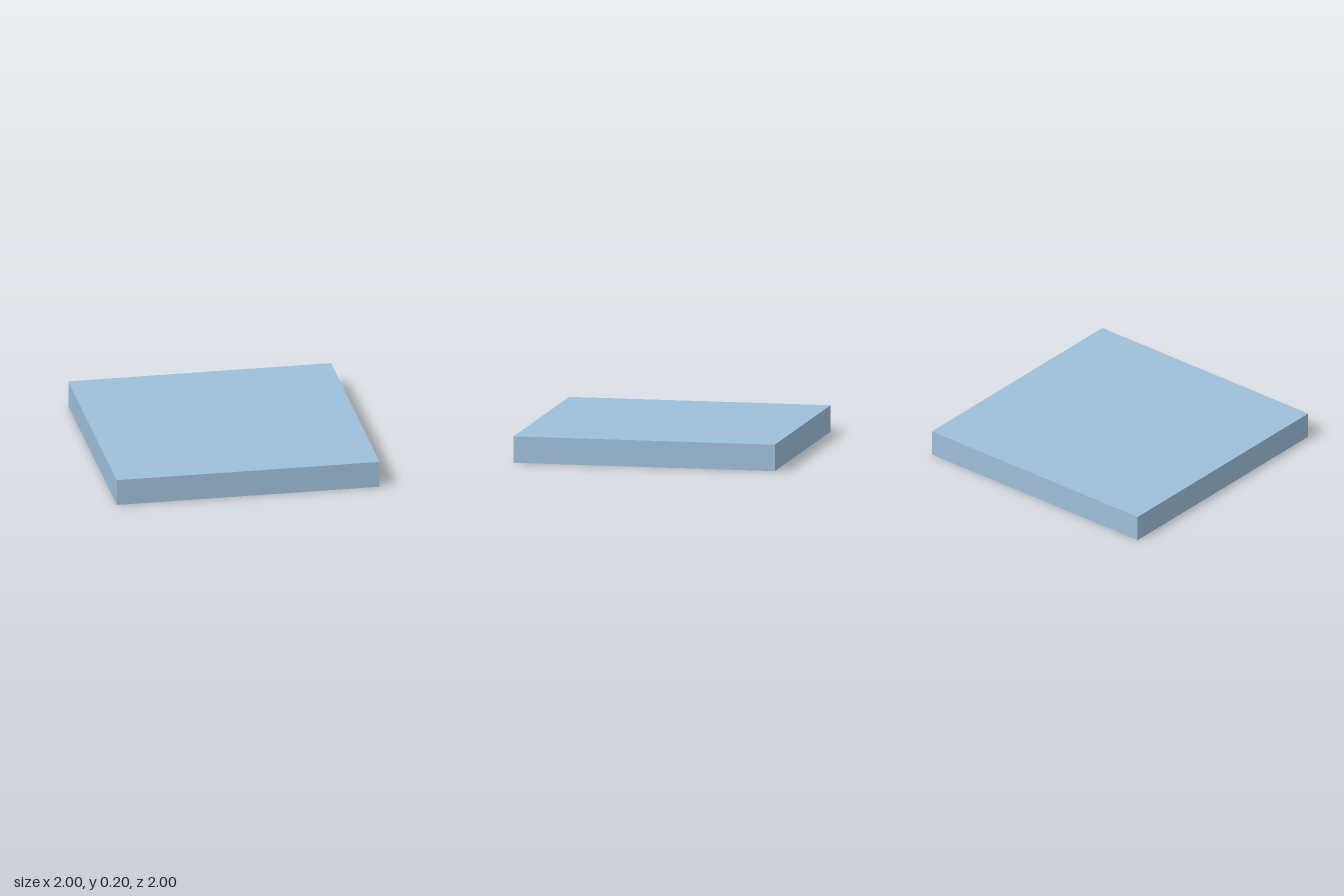
import * as THREE from 'three';

const HEIGHT = 0.2, DEPTH = 0.053, DRAFT = 0.028;

const slabBlue = new THREE.MeshStandardMaterial({ color: 0x9ec0db });
slabBlue.name = 'slabBlue';
const recessBlue = new THREE.MeshStandardMaterial({ color: 0x464ee2 });
recessBlue.name = 'recessBlue';

const v2 = (x, y) => new THREE.Vector2(x, y);

// Moves every edge of a convex counterclockwise loop inward by d
function inset(loop, d) {
  const n = loop.length;
  const normal = (a, b) => v2(a.y - b.y, b.x - a.x).normalize();
  return loop.map((p, i) => {
    const n1 = normal(loop[(i + n - 1) % n], p);
    const n2 = normal(p, loop[(i + 1) % n]);
    return n1.clone().add(n2).multiplyScalar(d / (1 + n1.dot(n2))).add(p);
  });
}

// Sloping walls between the rim and the floor of a recess
function wallGeometry(rim, floor) {
  const pos = [];
  rim.forEach((a, i) => {
    const j = (i + 1) % rim.length, b = rim[j], c = floor[j], d = floor[i];
    pos.push(a.x, a.y, 0, b.x, b.y, 0, c.x, c.y, -DEPTH);
    pos.push(a.x, a.y, 0, c.x, c.y, -DEPTH, d.x, d.y, -DEPTH);
  });
  const geo = new THREE.BufferGeometry();
  geo.setAttribute('position', new THREE.Float32BufferAttribute(pos, 3));
  geo.computeVertexNormals();
  return geo;
}

export function createModel() {
  const model = new THREE.Group();
  model.name = 'floorTile';

  const add = (name, geo, mat, parent = model) => {
    const mesh = new THREE.Mesh(geo, mat);
    mesh.name = name;
    parent.add(mesh);
  };

  // Top and sides: a box without its bottom face
  const box = new THREE.BoxGeometry(2, HEIGHT, 2);
  const index = Array.from(box.index.array);
  index.splice(18, 6);
  box.setIndex(index);
  box.clearGroups();
  box.translate(0, HEIGHT / 2, 0);
  add('slabShell', box, slabBlue);

  // Recess outlines: a central square and four trapezoids around it
  const s = 0.33;
  const square = [v2(-s, -s), v2(s, -s), v2(s, s), v2(-s, s)];
  const trapezoid = [v2(-0.413, 0.6), v2(0.413, 0.6), v2(0.68, 0.867), v2(-0.68, 0.867)];
  const rims = [square];
  for (let k = 0; k < 4; k++) {
    rims.push(trapezoid.map((p) => p.clone().rotateAround(v2(0, 0), (k * Math.PI) / 2)));
  }

  // Underside, drawn flat and turned to face down
  const underside = new THREE.Group();
  underside.name = 'underside';
  underside.rotation.x = Math.PI / 2;
  model.add(underside);

  const outline = new THREE.Shape([v2(-1, -1), v2(1, -1), v2(1, 1), v2(-1, 1)]);
  outline.holes = rims.map((rim) => new THREE.Path(rim.slice().reverse()));
  add('bottomFrame', new THREE.ShapeGeometry(outline), slabBlue, underside);

  rims.forEach((rim, i) => {
    const name = i === 0 ? 'centreRecess' : 'sideRecess' + i;
    const floor = inset(rim, DRAFT);
    add(name + 'Walls', wallGeometry(rim, floor), slabBlue, underside);
    const floorGeo = new THREE.ShapeGeometry(new THREE.Shape(floor));
    floorGeo.translate(0, 0, -DEPTH);
    add(name + 'Floor', floorGeo, recessBlue, underside);
  });

  return model;
}
